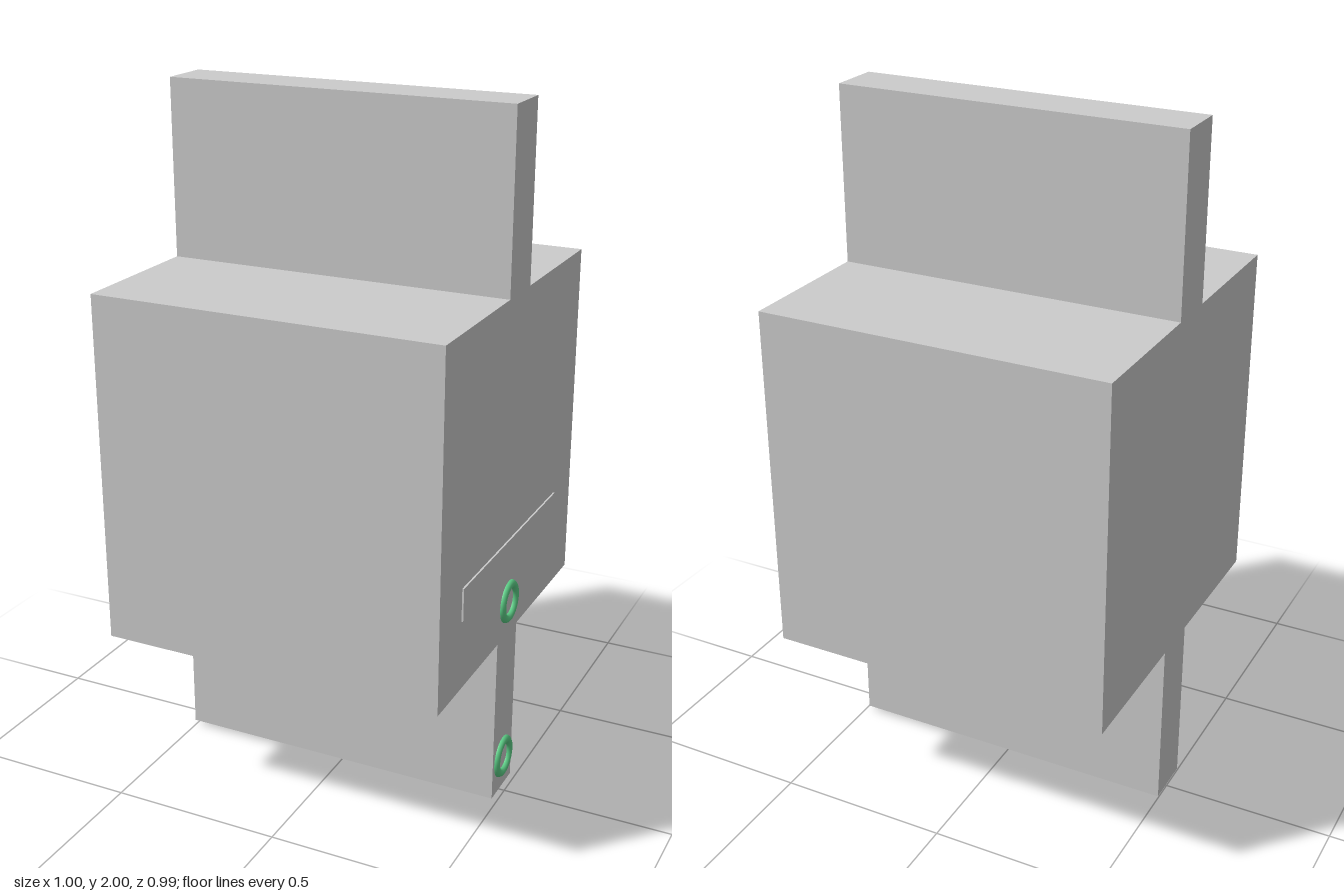
import * as THREE from 'three';

export function createModel() {
  const model = new THREE.Group();
  const grey = new THREE.MeshStandardMaterial({ color: 0xcccccc });
  const green = new THREE.MeshStandardMaterial({ color: 0x5fd38a });

  // Box given by its minimum and maximum corners
  function box(name, min, max) {
    const size = max.map((v, i) => v - min[i]);
    const mesh = new THREE.Mesh(new THREE.BoxGeometry(...size), grey);
    mesh.position.set(...max.map((v, i) => (v + min[i]) / 2));
    mesh.name = name;
    model.add(mesh);
  }

  // Small ring lying flat against a face, half sunk into it
  function ring(name, position, rotation, radius, tube, flatten = 1) {
    const mesh = new THREE.Mesh(new THREE.TorusGeometry(radius, tube, 16, 48), green);
    mesh.position.set(...position);
    mesh.rotation.set(...rotation);
    mesh.scale.z = flatten;
    mesh.name = name;
    model.add(mesh);
  }

  // Main block with the upright plates above and below it
  box('block', [-0.503, 0.513, -0.497], [0.489, 1.505, 0.497]);
  box('upperPlate', [-0.503, 1.505, -0.074], [0.489, 2, 0.074]);
  box('lowerPlate', [-0.503, 0.013, -0.074], [0.489, 0.513, 0.074]);

  // Thin raised strips on the side and the underside
  box('sideStrip', [0.485, 0.715, -0.35], [0.494, 0.81, 0.35]);
  box('undersideStrip', [-0.08, 0.508, 0.2], [0.31, 0.517, 0.285]);

  // Rings on the side faces
  const sideways = [0, Math.PI / 2, 0];
  ring('upperSideRing', [0.489, 0.615, 0], sideways, 0.05, 0.0125);
  ring('lowerSideRing', [0.489, 0.115, 0], sideways, 0.05, 0.0125);

  // Rings facing down
  const downward = [Math.PI / 2, 0, 0];
  ring('bottomRing', [-0.007, 0.0125, 0], downward, 0.05, 0.0125);
  ring('undersideRing', [-0.13, 0.513, 0.243], downward, 0.038, 0.009, 0.6);

  return model;
}
